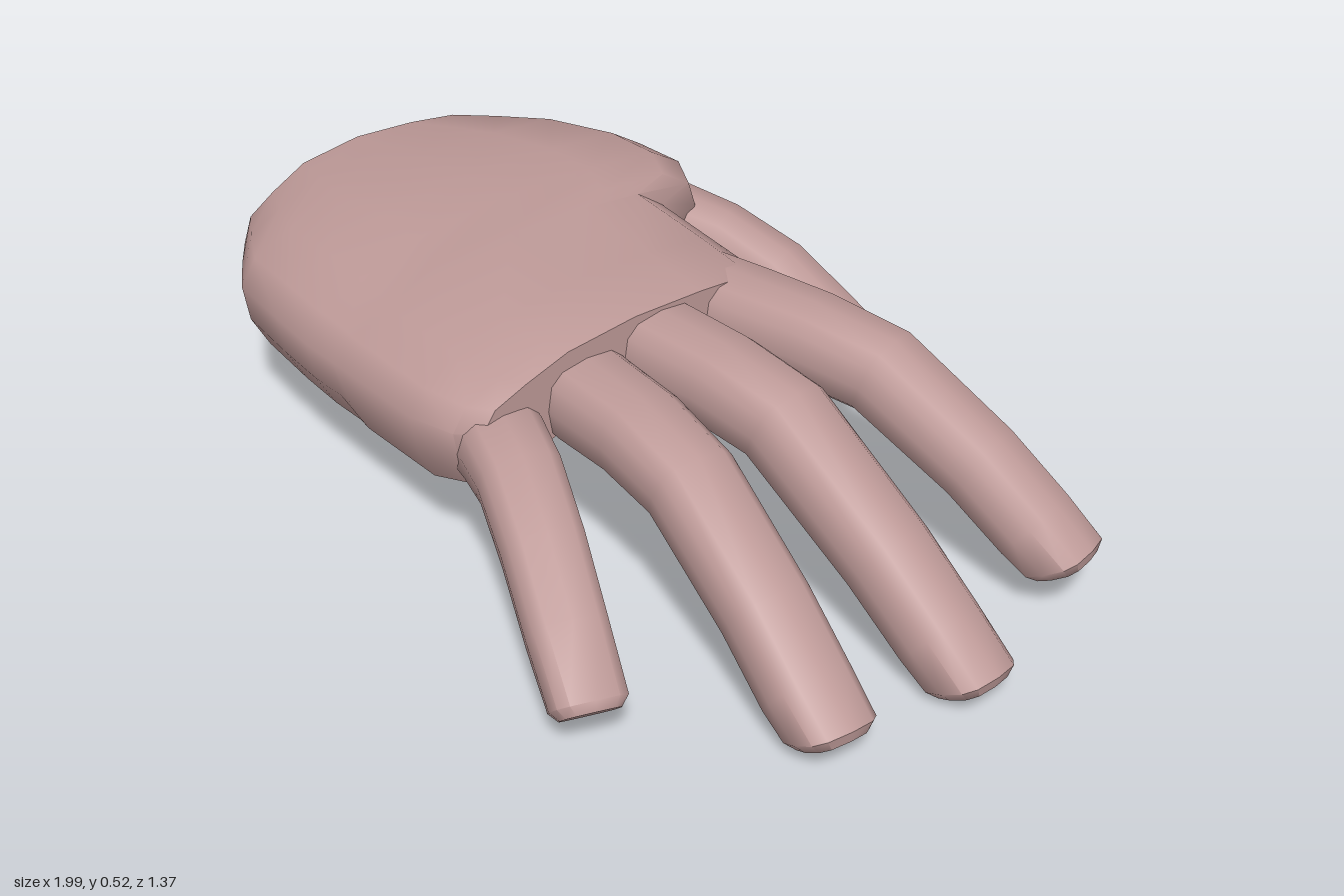
import * as THREE from 'three';
import { toCreasedNormals } from 'three/addons/utils/BufferGeometryUtils.js';

const skin = new THREE.MeshStandardMaterial({ color: 0xbe9a98 });

// Skin a list of equal-length rings (arrays of Vector3) and close both ends.
function loft(name, rings, crease) {
  const n = rings[0].length, last = rings.length - 1;
  const pos = [], index = [];
  const add = (p) => pos.push(p.x, p.y, p.z);
  rings.forEach((r) => r.forEach(add));
  for (const r of [rings[0], rings[last]]) {
    add(r.reduce((s, p) => s.add(p), new THREE.Vector3()).divideScalar(n));
  }
  const c0 = rings.length * n, c1 = c0 + 1;
  for (let j = 0; j < n; j++) {
    const k = (j + 1) % n;
    for (let i = 0; i < last; i++) {
      const a = i * n + j, b = i * n + k;
      index.push(a, b, b + n, a, b + n, a + n);
    }
    index.push(c0, k, j, c1, last * n + j, last * n + k);
  }
  const g = new THREE.BufferGeometry();
  g.setAttribute('position', new THREE.Float32BufferAttribute(pos, 3));
  g.setIndex(index);
  const mesh = new THREE.Mesh(toCreasedNormals(g, crease), skin);
  mesh.name = name;
  return mesh;
}

// Finger: rows of [x, y, z, half width, half height]; tipTilt turns the blunt end downward.
function finger(name, rows, tipTilt) {
  const sides = 12, up = new THREE.Vector3(0, 1, 0);
  const centers = rows.map((r) => new THREE.Vector3(r[0], r[1], r[2]));
  const last = rows.length - 1;
  const soft = (v) => Math.sign(v) * Math.abs(v) ** 0.66;
  const ring = (c, t, w, h) => {
    const side = new THREE.Vector3().crossVectors(up, t).normalize();
    const top = new THREE.Vector3().crossVectors(t, side).normalize();
    return Array.from({ length: sides }, (_, j) => {
      const a = (j / sides) * Math.PI * 2;
      return c.clone().addScaledVector(side, w * soft(Math.cos(a))).addScaledVector(top, h * soft(Math.sin(a)));
    });
  };
  const rings = [];
  rows.forEach((r, i) => {
    const t = centers[Math.min(i + 1, last)].clone().sub(centers[Math.max(i - 1, 0)]).normalize();
    if (i === last) t.y -= tipTilt;
    t.normalize();
    rings.push(ring(centers[i], t, r[3], r[4]));
    // bevelled fingertip
    if (i === last) rings.push(ring(centers[i].clone().addScaledVector(t, 0.02), t, r[3] * 0.78, r[4] * 0.78));
  });
  return loft(name, rings, 0.85);
}

// Palm rows: [x, back z, front z, top y, rim y, hollow y, slant]
function palm() {
  const rows = [
    [-1.0, -0.36, 0.32, 0.47, 0.165, 0.25, 0.05],
    [-0.9, -0.43, 0.385, 0.485, 0.175, 0.25, 0.03],
    [-0.78, -0.51, 0.455, 0.5, 0.18, 0.25, 0],
    [-0.6, -0.555, 0.485, 0.52, 0.185, 0.25, 0],
    [-0.47, -0.56, 0.5, 0.52, 0.19, 0.26, 0],
    [-0.37, -0.5, 0.505, 0.52, 0.2, 0.275, 0],
    [-0.335, -0.385, 0.505, 0.52, 0.2, 0.28, 0],
    [-0.1, -0.355, 0.51, 0.517, 0.205, 0.31, 0],
    [0.02, -0.335, 0.495, 0.51, 0.24, 0.335, 0],
    [0.07, -0.325, 0.46, 0.5, 0.27, 0.35, 0],
  ];
  // Outline over the back of the hand: [across, height between rim and top]
  const over = [[-0.96, 0.33], [-1, 0.55], [-0.96, 0.74], [-0.8, 0.9], [-0.45, 0.96], [0, 1],
    [0.45, 0.95], [0.72, 0.82], [0.92, 0.7], [1, 0.52], [0.97, 0.25]];
  // Outline under the hollow of the hand: [across, share of hollow]
  const under = [[0.88, 0], [0.72, 0.15], [0.4, 0.75], [0, 1], [-0.4, 0.75], [-0.72, 0.15], [-0.88, 0]];
  const rings = rows.map(([x, z0, z1, top, rim, hollow, slant]) => {
    const point = (u, y) => new THREE.Vector3(
      x + slant * (top - y) / (top - rim), y, (z0 + z1) / 2 + u * (z1 - z0) / 2);
    return [
      ...over.map(([u, v]) => point(u, rim + v * (top - rim))),
      ...under.map(([u, v]) => point(u, rim + v * (hollow - rim))),
    ];
  });
  return loft('palm', rings, 0.8);
}

export function createModel() {
  const hand = new THREE.Group();
  hand.name = 'hand';
  hand.add(
    palm(),
    finger('indexFinger', [
      [-0.06, 0.395, -0.21, 0.1, 0.085], [0.1, 0.4, -0.228, 0.1, 0.09], [0.25, 0.405, -0.255, 0.095, 0.085],
      [0.42, 0.392, -0.285, 0.09, 0.083], [0.65, 0.265, -0.335, 0.087, 0.077], [0.78, 0.17, -0.362, 0.086, 0.075],
      [0.845, 0.12, -0.377, 0.083, 0.073]], 0.7),
    finger('middleFinger', [
      [-0.06, 0.4, 0, 0.1, 0.085], [0.1, 0.4, -0.003, 0.1, 0.088], [0.25, 0.405, -0.006, 0.096, 0.085],
      [0.42, 0.39, -0.01, 0.092, 0.085], [0.7, 0.215, -0.02, 0.088, 0.08], [0.84, 0.105, -0.027, 0.086, 0.077],
      [0.918, 0.047, -0.03, 0.083, 0.077]], 0.9),
    finger('ringFinger', [
      [-0.06, 0.375, 0.18, 0.1, 0.08], [0.1, 0.37, 0.199, 0.1, 0.085], [0.25, 0.375, 0.214, 0.095, 0.083],
      [0.42, 0.355, 0.237, 0.09, 0.08], [0.66, 0.21, 0.266, 0.087, 0.077], [0.79, 0.11, 0.282, 0.087, 0.075],
      [0.862, 0.06, 0.29, 0.083, 0.075]], 0.8),
    finger('littleFinger', [
      [-0.06, 0.325, 0.37, 0.092, 0.08], [0.06, 0.33, 0.405, 0.09, 0.082], [0.17, 0.33, 0.45, 0.086, 0.073],
      [0.3, 0.265, 0.503, 0.083, 0.075], [0.44, 0.175, 0.563, 0.08, 0.073], [0.55, 0.1, 0.607, 0.076, 0.066]], 0.35),
    finger('thumb', [
      [-0.68, 0.32, -0.4, 0.1, 0.09], [-0.5, 0.3, -0.465, 0.1, 0.105], [-0.34, 0.262, -0.545, 0.09, 0.1],
      [-0.2, 0.212, -0.592, 0.086, 0.097], [-0.06, 0.155, -0.6, 0.084, 0.097], [0.04, 0.122, -0.598, 0.083, 0.095],
      [0.08, 0.108, -0.597, 0.073, 0.085]], 0.1),
  );
  return hand;
}
